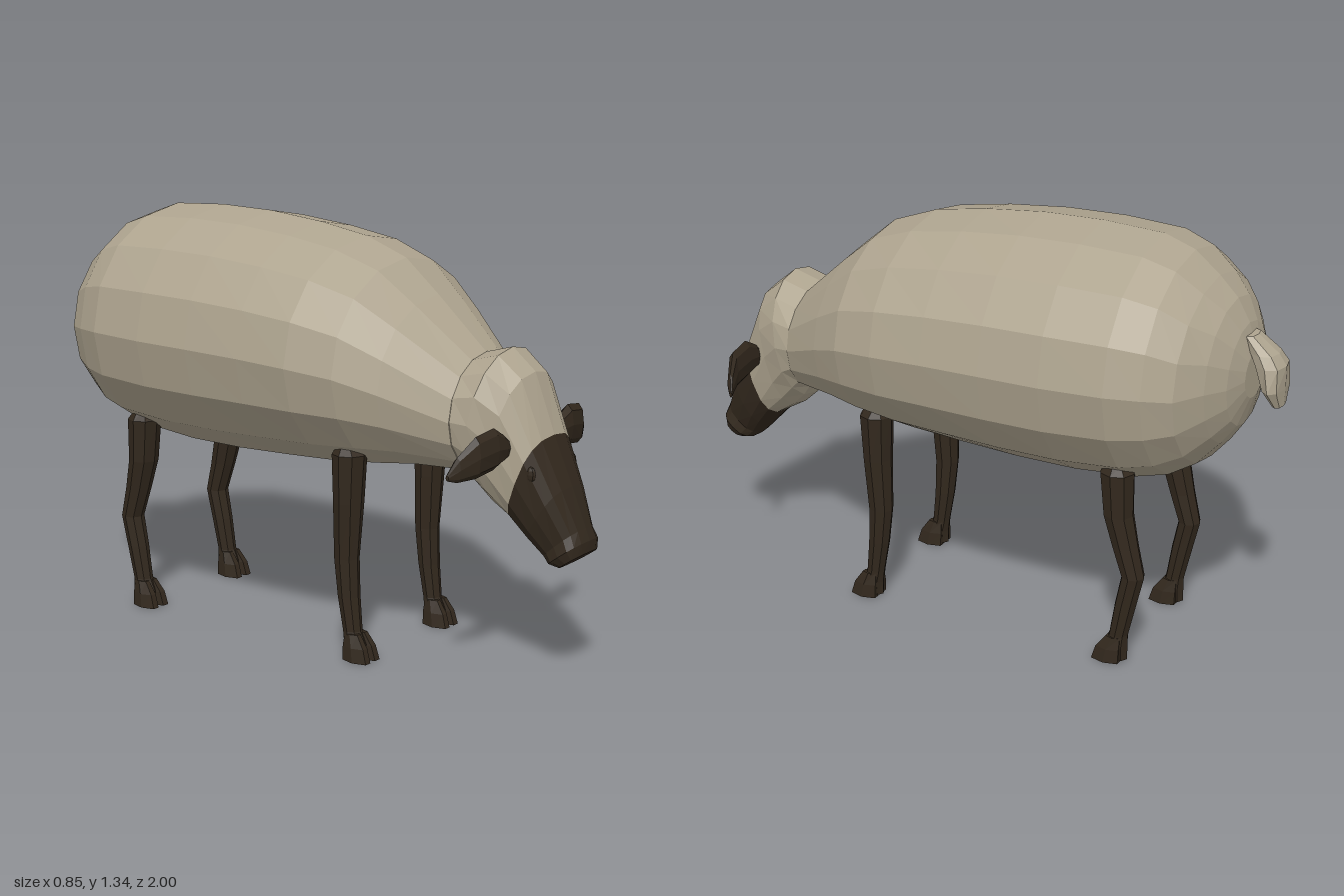
import * as THREE from 'three';

const V = (x, y, z) => new THREE.Vector3(x, y, z);
const wool = new THREE.MeshStandardMaterial({ name: 'wool', color: 0xaea48f, flatShading: true });
const dark = new THREE.MeshStandardMaterial({ name: 'darkSkin', color: 0x32281d, flatShading: true });

// Ring of n points around c, spanned by u and v; power below 1 makes it boxier
function ring(c, u, v, n, power = 1) {
  const f = (t) => Math.sign(t) * Math.abs(t) ** power;
  return Array.from({ length: n }, (_, i) => {
    const a = (i / n) * Math.PI * 2;
    return c.clone().addScaledVector(u, f(Math.cos(a))).addScaledVector(v, f(Math.sin(a)));
  });
}

// Skin over successive rings with closed ends; u x v points along the loft
function loft(name, rings, material) {
  const pos = [];
  const tri = (...p) => p.forEach((q) => pos.push(q.x, q.y, q.z));
  const mid = (r) => r.reduce((s, p) => s.add(p), V(0, 0, 0)).divideScalar(r.length);
  const n = rings[0].length;
  const first = rings[0];
  const last = rings[rings.length - 1];
  const a = mid(first);
  const b = mid(last);
  for (let j = 0; j < n; j++) {
    const k = (j + 1) % n;
    tri(a, first[k], first[j]);
    tri(b, last[j], last[k]);
    for (let i = 0; i < rings.length - 1; i++) {
      const r = rings[i];
      const s = rings[i + 1];
      tri(r[j], r[k], s[k]);
      tri(r[j], s[k], s[j]);
    }
  }
  const g = new THREE.BufferGeometry();
  g.setAttribute('position', new THREE.Float32BufferAttribute(pos, 3));
  g.computeVertexNormals();
  const mesh = new THREE.Mesh(g, material);
  mesh.name = name;
  return mesh;
}

// Fleece: z, top y, bottom y, half width
function body() {
  const rows = [
    [0.63, 0.97, 0.61, 0.2], [0.45, 1.13, 0.605, 0.31], [0.33, 1.23, 0.59, 0.375],
    [0.18, 1.285, 0.575, 0.412], [0, 1.315, 0.565, 0.42], [-0.2, 1.335, 0.557, 0.426],
    [-0.4, 1.34, 0.558, 0.426], [-0.6, 1.33, 0.575, 0.41], [-0.7, 1.295, 0.6, 0.37],
    [-0.78, 1.23, 0.65, 0.32], [-0.84, 1.17, 0.72, 0.235], [-0.88, 1.1, 0.78, 0.16],
    [-0.905, 1.02, 0.87, 0.08],
  ];
  return loft('body', rows.map(([z, t, b, w]) =>
    ring(V(0, (t + b) / 2, z), V(0, (t - b) / 2, 0), V(w, 0, 0), 16)), wool);
}

// Head rings: top z, top y, bottom z, bottom y, half width, power
function headPart(name, rows, material) {
  return loft(name, rows.map(([tz, ty, bz, by, w, p]) =>
    ring(V(0, (ty + by) / 2, (tz + bz) / 2), V(0, (ty - by) / 2, (tz - bz) / 2), V(-w, 0, 0), 16, p)), material);
}

function head() {
  const g = new THREE.Group();
  g.name = 'head';
  const brow = [0.87, 0.755, 0.77, 0.49, 0.135, 0.75];
  g.add(headPart('neckWool', [
    [0.6, 0.96, 0.6, 0.62, 0.19, 1], [0.63, 0.975, 0.63, 0.61, 0.197, 1],
    [0.72, 1.0, 0.65, 0.575, 0.188, 0.95], [0.8, 0.935, 0.7, 0.53, 0.16, 0.85], brow,
  ], wool));
  g.add(headPart('face', [
    brow, [0.935, 0.61, 0.825, 0.435, 0.112, 0.75], [0.985, 0.49, 0.868, 0.39, 0.082, 0.75],
    [1.0, 0.455, 0.89, 0.372, 0.09, 0.75], [1.0, 0.42, 0.925, 0.366, 0.076, 0.75],
  ], dark));

  for (const s of [1, -1]) {
    // Leaf-shaped ears: x, top y, bottom y, z, half thickness
    const rows = [
      [0.125, 0.75, 0.705, 0.79, 0.015], [0.16, 0.775, 0.69, 0.79, 0.022], [0.205, 0.8, 0.675, 0.79, 0.024],
      [0.285, 0.788, 0.664, 0.782, 0.02], [0.34, 0.735, 0.66, 0.757, 0.013], [0.365, 0.685, 0.667, 0.74, 0.005],
    ];
    g.add(loft(s > 0 ? 'leftEar' : 'rightEar', rows.map(([x, t, b, z, d]) =>
      ring(V(s * x, (t + b) / 2, z), V(0, (t - b) / 2, 0), V(0, 0, s * d), 8)), dark));

    const eye = new THREE.Mesh(new THREE.SphereGeometry(0.022, 8, 6), dark);
    eye.name = 'eye';
    eye.scale.set(0.5, 1.1, 0.8);
    eye.position.set(s * 0.114, 0.655, 0.862);
    g.add(eye);
  }
  return g;
}

// Leg: y, front z, back z, half width; z measured from the leg's own origin
function leg(name, x, z0, rows) {
  const g = new THREE.Group();
  g.name = name;
  g.position.set(x, 0, z0);
  g.add(loft('shin', rows.map(([y, f, b, w]) =>
    ring(V(0, y, (f + b) / 2), V(w, 0, 0), V(0, 0, (f - b) / 2), 8)), dark));
  // Cloven hoof
  const [, f, b] = rows[rows.length - 1];
  for (const s of [1, -1]) {
    g.add(loft('toe', [
      ring(V(s * 0.018, 0.085, (f + b) / 2), V(0.016, 0, 0), V(0, 0, 0.028), 6),
      ring(V(s * 0.022, 0.045, f - 0.025), V(0.022, 0, 0), V(0, 0, 0.045), 6),
      ring(V(s * 0.024, 0, f - 0.018), V(0.024, 0, 0), V(0, 0, 0.052), 6),
    ], dark));
  }
  return g;
}

// Tail: centre y, centre z, half width, half depth
function tail() {
  const rows = [
    [1.07, -0.885, 0.04, 0.025], [1.02, -0.935, 0.055, 0.042], [0.985, -0.957, 0.065, 0.045],
    [0.915, -0.972, 0.075, 0.03], [0.86, -0.985, 0.035, 0.015],
  ];
  return loft('tail', rows.map(([y, z, w, d]) =>
    ring(V(0, y, z), V(w, 0, 0), V(0, 0, d), 8, 0.8)), wool);
}

export function createModel() {
  const model = new THREE.Group();
  model.name = 'sheep';
  model.add(body(), head(), tail());

  const front = [
    [0.675, 0.03, -0.04, 0.035], [0.65, 0.055, -0.055, 0.055], [0.5, 0.045, -0.05, 0.05],
    [0.32, 0.032, -0.05, 0.038], [0.2, 0.035, -0.035, 0.036], [0.09, 0.045, -0.015, 0.031],
    [0.05, 0.065, -0.01, 0.036], [0.005, 0.065, -0.01, 0.03],
  ];
  const hind = [
    [0.67, 0.03, -0.03, 0.035], [0.64, 0.055, -0.055, 0.055], [0.5, 0.04, -0.055, 0.05],
    [0.4, 0.01, -0.075, 0.042], [0.3, -0.025, -0.098, 0.038], [0.2, -0.005, -0.075, 0.035],
    [0.09, 0.012, -0.05, 0.031], [0.05, 0.03, -0.05, 0.036], [0.005, 0.03, -0.05, 0.03],
  ];
  for (const s of [1, -1]) {
    const side = s > 0 ? 'left' : 'right';
    model.add(leg(side + 'FrontLeg', s * 0.216, 0.28, front));
    model.add(leg(side + 'HindLeg', s * 0.216, -0.568, hind));
  }
  return model;
}
